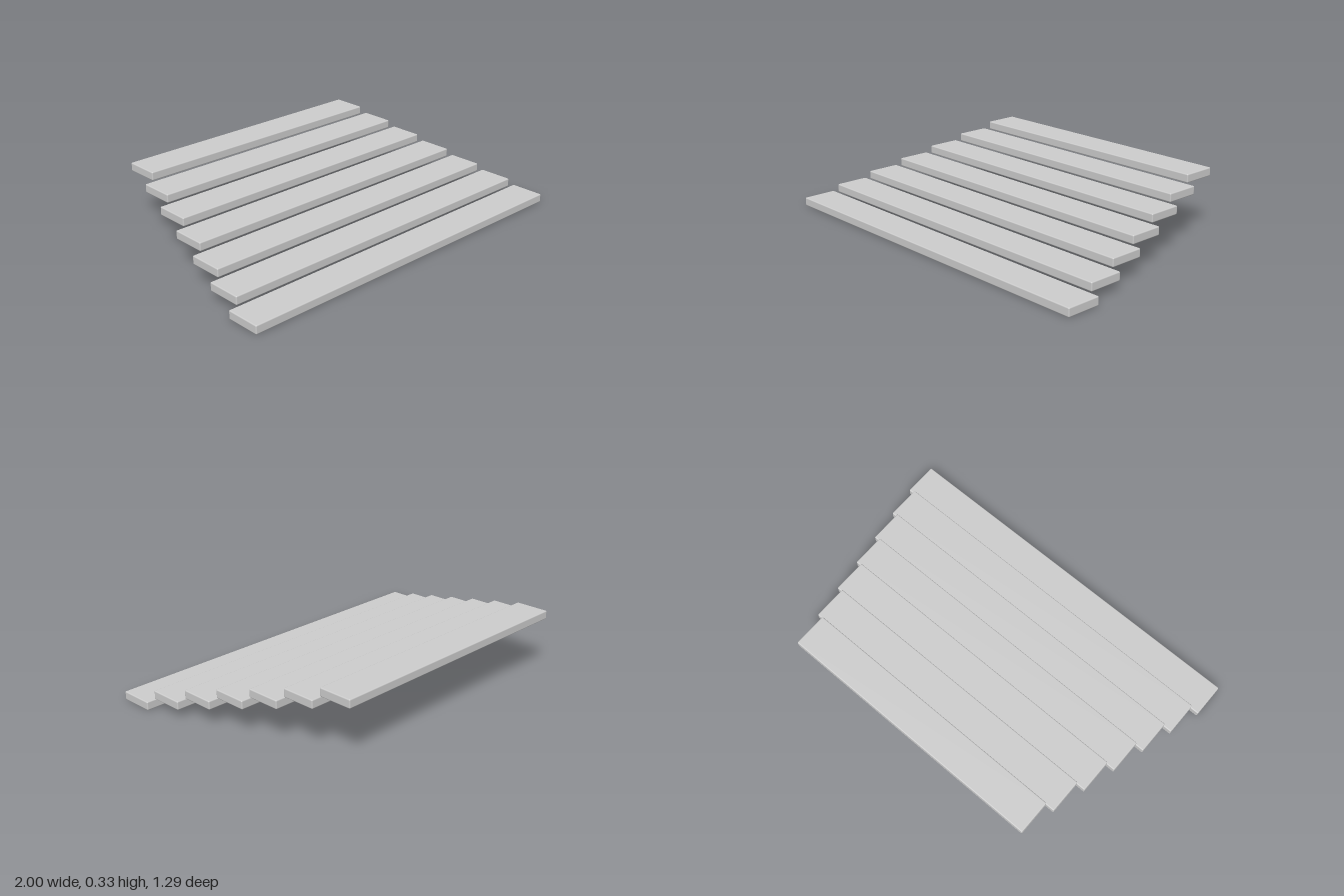
import * as THREE from 'three';
import { RoundedBoxGeometry } from 'three/addons/geometries/RoundedBoxGeometry.js';

const STEPS = 7;
const DEPTH = 0.183, THICKNESS = 0.045;
const RUN = 0.1838, RISE = 0.0477;
const BOTTOM_WIDTH = 2, TOP_WIDTH = 1.462;

export function createModel() {
  const group = new THREE.Group();
  group.name = 'steps';
  const material = new THREE.MeshStandardMaterial({ color: 0xcccccc });

  // Floating slabs that rise to the back and narrow evenly
  for (let i = 0; i < STEPS; i++) {
    const width = THREE.MathUtils.lerp(BOTTOM_WIDTH, TOP_WIDTH, i / (STEPS - 1));
    const step = new THREE.Mesh(new RoundedBoxGeometry(width, THICKNESS, DEPTH, 2, 0.006), material);
    step.name = `step${i + 1}`;
    step.position.set(0, THICKNESS / 2 + i * RISE, ((STEPS - 1) / 2 - i) * RUN);
    group.add(step);
  }
  return group;
}
